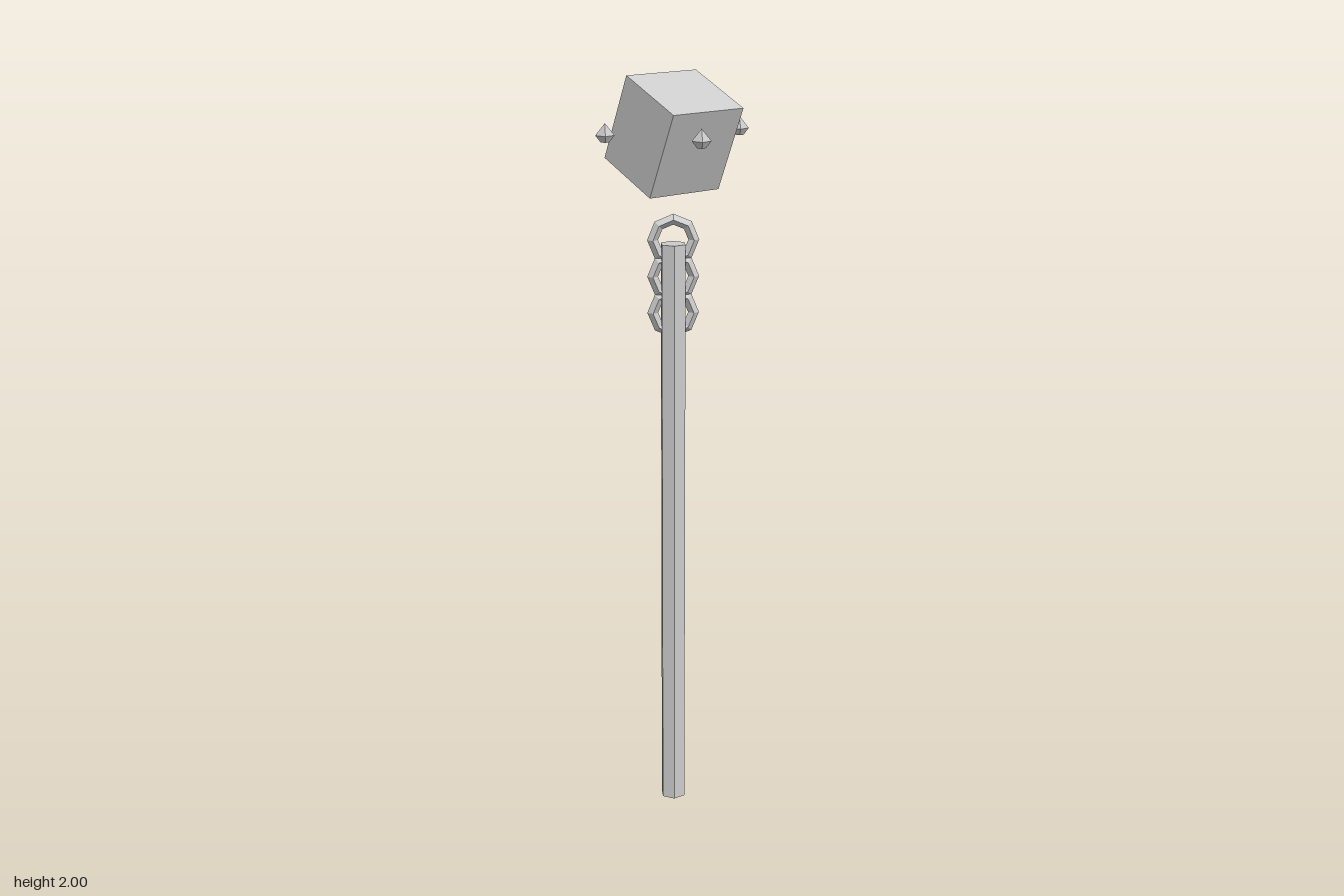
import * as THREE from 'three';

export function createModel() {
  const model = new THREE.Group();
  const grey = new THREE.MeshStandardMaterial({ color: 0xcccccc, flatShading: true });
  grey.name = 'stone grey';

  const add = (name, geometry, x = 0, y = 0, z = 0) => {
    const mesh = new THREE.Mesh(geometry, grey);
    mesh.name = name;
    mesh.position.set(x, y, z);
    model.add(mesh);
    return mesh;
  };

  // Six-sided shaft
  add('shaft', new THREE.CylinderGeometry(0.035, 0.035, 1.574, 6), 0, 0.787, 0);

  // Three overlapping rings around the upper shaft
  const ring = new THREE.TorusGeometry(0.053, 0.014, 4, 8);
  for (let i = 0; i < 3; i++) add('ring' + (i + 1), ring, 0, 1.584 - i * 0.095, 0);

  // Tilted block floating above the shaft
  const block = add('floatingBlock', new THREE.BoxGeometry(0.224, 0.232, 0.2), 0, 1.854, 0);
  block.rotation.set(0.41, 0.6, 0, 'YXZ');

  // Four small four-sided shards circling the block
  const profile = [[0, -0.02], [0.011, -0.02], [0.024, -0.003], [0, 0.027]];
  const shard = new THREE.LatheGeometry(profile.map(([r, y]) => new THREE.Vector2(r, y)), 4);
  for (let i = 0; i < 4; i++) {
    const a = 0.3 + i * Math.PI / 2;
    add('shard' + (i + 1), shard, 0.182 * Math.cos(a), 1.861, -0.182 * Math.sin(a));
  }

  return model;
}
